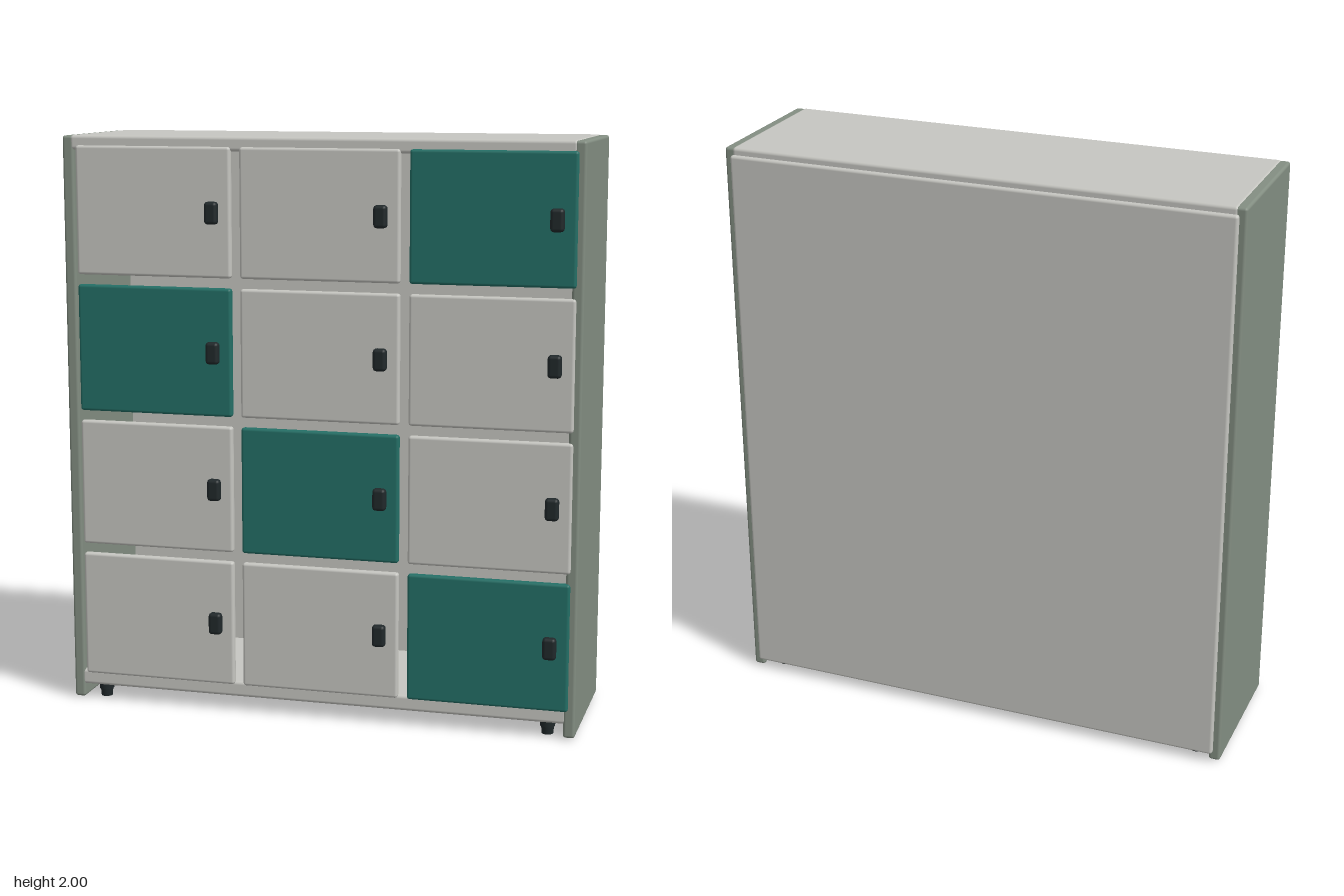
import * as THREE from 'three';
import { RoundedBoxGeometry } from 'three/addons/geometries/RoundedBoxGeometry.js';

export function createModel() {
  const material = (name, color) => new THREE.MeshStandardMaterial({ name, color });
  const grey = material('light grey', 0xc6c6c1);
  const sage = material('sage green', 0x838e82);
  const teal = material('teal', 0x236f66);
  const black = material('near black', 0x20282a);

  const model = new THREE.Group();
  model.name = 'lockerCabinet';

  // Rounded panel given by its lower and upper corners
  function panel(name, mat, min, max, radius, parent = model) {
    const size = max.map((v, i) => v - min[i]);
    const mesh = new THREE.Mesh(new RoundedBoxGeometry(...size, 2, radius), mat);
    mesh.position.set(...max.map((v, i) => (v + min[i]) / 2));
    mesh.name = name;
    parent.add(mesh);
    return mesh;
  }

  // Carcass: open shell of sides, top, bottom and back
  panel('leftSide', sage, [0.86, 0.005, -0.276], [0.9, 1.998, 0.258], 0.01);
  panel('rightSide', sage, [-0.9, 0.005, -0.276], [-0.86, 1.998, 0.258], 0.01);
  panel('topPanel', grey, [-0.872, 1.95, -0.278], [0.872, 2, 0.259], 0.012);
  panel('bottomPanel', grey, [-0.872, 0.052, -0.274], [0.872, 0.107, 0.256], 0.012);
  panel('backPanel', grey, [-0.875, 0.033, -0.292], [0.875, 1.975, -0.262], 0.01);

  // Doors, three columns by four rows, each with a latch; t marks teal doors
  const layout = ['..t', 't..', '.t.', '..t'];
  layout.forEach((row, r) => {
    [...row].forEach((code, c) => {
      const door = new THREE.Group();
      door.name = `door${r + 1}${c + 1}`;
      door.position.set(-0.573 + c * 0.586, 1.745 - r * 0.4755, 0);
      model.add(door);
      panel('doorPanel', code === 't' ? teal : grey,
        [-0.277, -0.2205, 0.24], [0.277, 0.2205, 0.269], 0.01, door);
      panel('latch', black, [0.19, -0.038, 0.25], [0.236, 0.038, 0.292], 0.012, door);
    });
  });

  // Levelling feet: a collar over a tapered pad
  for (const x of [-0.8, 0.8]) {
    for (const z of [-0.22, 0.2]) {
      const foot = new THREE.Group();
      foot.name = 'foot';
      foot.position.set(x, 0, z);
      const pad = new THREE.Mesh(new THREE.CylinderGeometry(0.023, 0.02, 0.035, 20), black);
      pad.name = 'footPad';
      pad.position.y = 0.0175;
      const collar = new THREE.Mesh(new THREE.CylinderGeometry(0.026, 0.026, 0.03, 20), black);
      collar.name = 'footCollar';
      collar.position.y = 0.042;
      foot.add(pad, collar);
      model.add(foot);
    }
  }
  return model;
}
